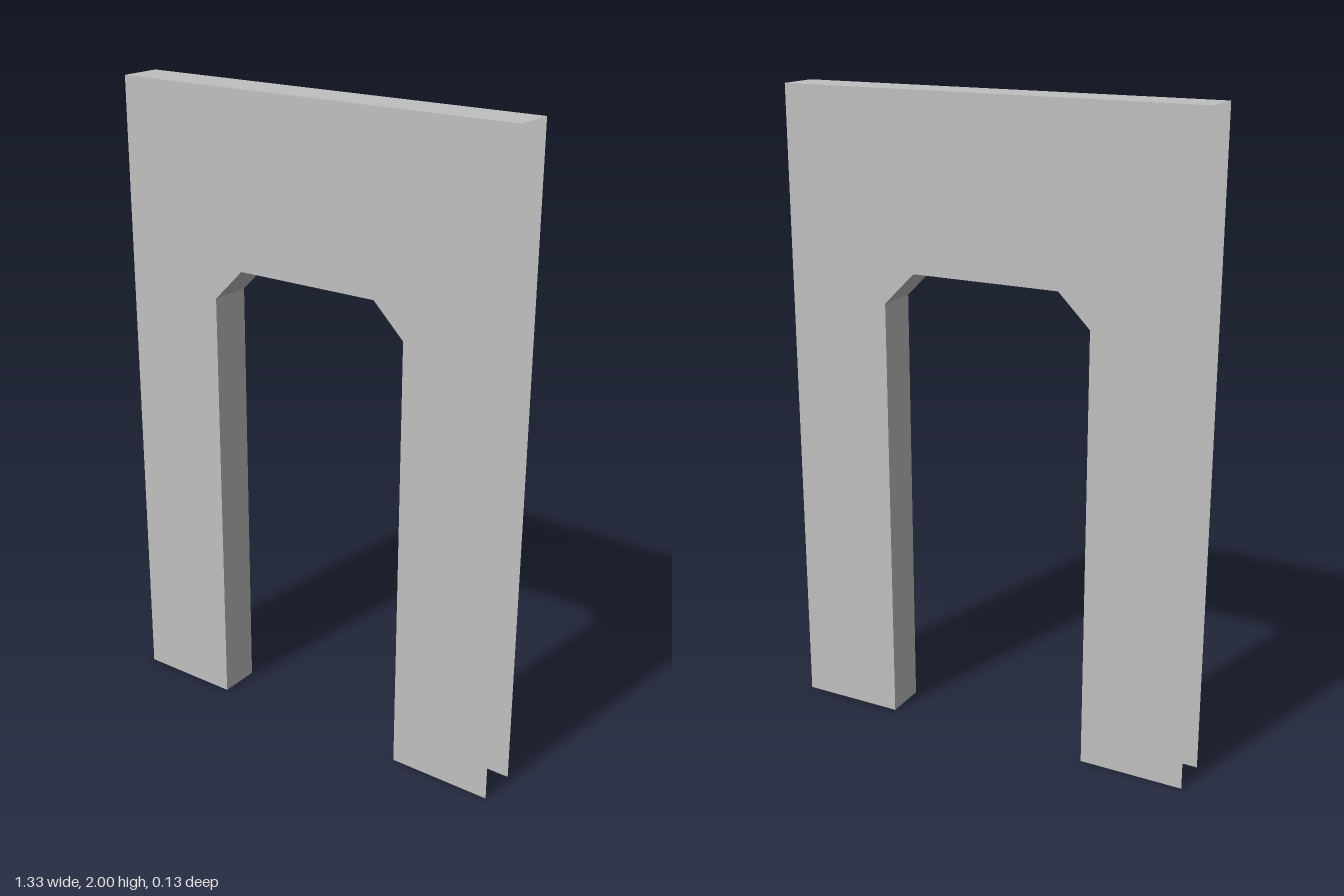
import * as THREE from 'three';

const DEPTH = 0.133;
const HALF_WIDTH = 0.665;
const HEIGHT = 2;

// Doorway outline, from the foot of the +x jamb over to the foot of the -x jamb
const doorway = [
  [0.335, 0], [0.335, 1.37], [0.235, 1.47],
  [-0.235, 1.47], [-0.335, 1.37], [-0.335, 0],
];

export function createModel() {
  const group = new THREE.Group();
  group.name = 'doorwayWall';

  const plaster = new THREE.MeshStandardMaterial({ color: 0xc0c0c0, side: THREE.DoubleSide });
  plaster.name = 'grey plaster';

  const add = (name, geometry) => {
    const mesh = new THREE.Mesh(geometry, plaster);
    mesh.name = name;
    group.add(mesh);
    return mesh;
  };

  // Flat strip across the wall's depth, facing left of the direction a to b
  const strip = (name, [ax, ay], [bx, by]) => {
    const geometry = new THREE.PlaneGeometry(Math.hypot(bx - ax, by - ay), DEPTH);
    geometry.rotateX(-Math.PI / 2);
    geometry.rotateZ(Math.atan2(by - ay, bx - ax));
    geometry.translate((ax + bx) / 2, (ay + by) / 2, 0);
    add(name, geometry);
  };

  // Front and back panels with the chamfered opening
  const outline = [
    [HALF_WIDTH, 0], [HALF_WIDTH, HEIGHT], [-HALF_WIDTH, HEIGHT], [-HALF_WIDTH, 0],
    ...[...doorway].reverse(),
  ];
  const shape = new THREE.Shape(outline.map(([x, y]) => new THREE.Vector2(x, y)));
  add('frontPanel', new THREE.ShapeGeometry(shape).translate(0, 0, DEPTH / 2));
  add('backPanel', new THREE.ShapeGeometry(shape).translate(0, 0, DEPTH / 2).rotateY(Math.PI));

  // Top cap; the outer ends and the feet stay open
  strip('topCap', [-HALF_WIDTH, HEIGHT], [HALF_WIDTH, HEIGHT]);

  // Lining of the doorway
  const names = ['leftJamb', 'leftChamfer', 'lintel', 'rightChamfer', 'rightJamb'];
  names.forEach((name, i) => strip(name, doorway[i], doorway[i + 1]));

  return group;
}
